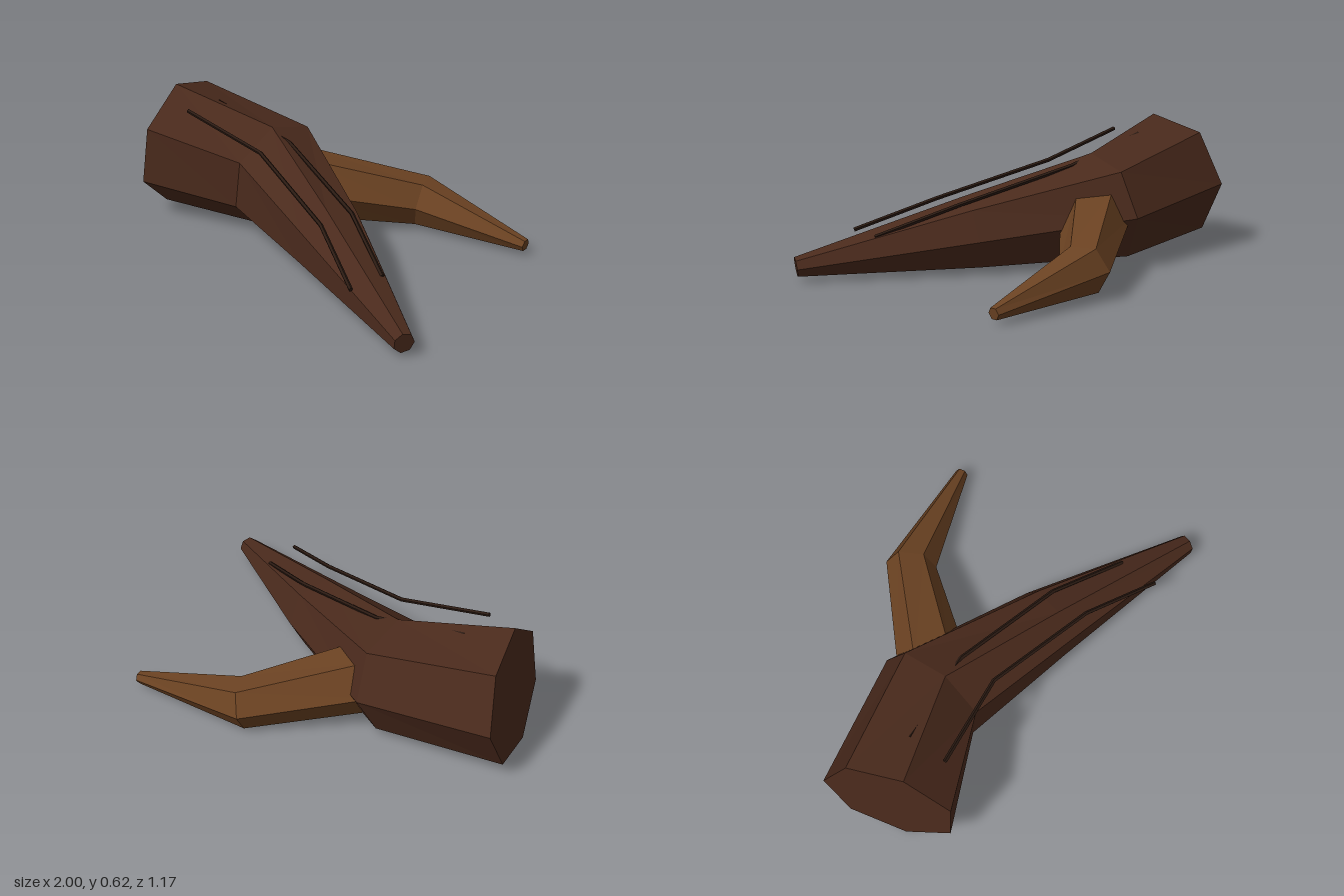
import * as THREE from 'three';

// Faceted limb: regular polygon rings [x, y, z, radius] joined along a bent path, both ends capped.
// The phase is the angle of the first corner, measured from the top of the ring.
function limb(name, rings, sides, phase, color) {
  const centers = rings.map(([x, y, z]) => new THREE.Vector3(x, y, z));
  const last = rings.length - 1;
  const step = (i) => centers[i + 1].clone().sub(centers[i]).normalize();
  const up = new THREE.Vector3(0, 1, 0);

  const loops = rings.map((ring, i) => {
    // each ring lies square to the average direction of its neighbouring segments
    const dir = step(Math.min(i, last - 1)).add(step(Math.max(i - 1, 0))).normalize();
    const side = dir.clone().cross(up).normalize();
    const top = side.clone().cross(dir);
    return Array.from({ length: sides }, (_, k) => {
      const a = phase + (k / sides) * Math.PI * 2;
      return centers[i].clone()
        .addScaledVector(top, Math.cos(a) * ring[3])
        .addScaledVector(side, Math.sin(a) * ring[3]);
    });
  });

  const points = [];
  for (let k = 0; k < sides; k++) {
    const n = (k + 1) % sides;
    for (let i = 0; i < last; i++) {
      const a = loops[i][k], b = loops[i][n], c = loops[i + 1][n], d = loops[i + 1][k];
      points.push(a, b, c, a, c, d);
    }
    points.push(centers[0], loops[0][n], loops[0][k]);
    points.push(centers[last], loops[last][k], loops[last][n]);
  }
  const geometry = new THREE.BufferGeometry().setFromPoints(points);
  geometry.computeVertexNormals();
  const mesh = new THREE.Mesh(geometry, new THREE.MeshStandardMaterial({ color, flatShading: true }));
  mesh.name = name;
  return mesh;
}

export function createModel() {
  const group = new THREE.Group();
  group.name = 'fallenBranch';

  // Thick seven-sided trunk, bent near the fork and tapering to a tip
  group.add(limb('trunk', [
    [-0.905, 0.317, 0.175, 0.313],
    [-0.37, 0.25, 0.02, 0.263],
    [0.24, 0.17, 0.24, 0.174],
    [0.985, 0.063, 0.54, 0.047],
  ], 7, 0.2, 0x4a2a1c));

  // Six-sided side branch growing out of the back
  group.add(limb('sideBranch', [
    [-0.275, 0.225, -0.04, 0.165],
    [0.12, 0.125, -0.46, 0.119],
    [0.678, 0.045, -0.562, 0.029],
  ], 6, Math.PI / 6, 0x6b4222));

  // Two thin bark ridges following the top of the trunk
  const r = 0.01;
  for (const [name, zs] of [
    ['frontBarkRidge', [0.305, 0.25, 0.385, 0.543]],
    ['backBarkRidge', [0.12, 0.07, 0.2, 0.36]],
  ]) {
    const xy = [[-0.665, 0.557], [-0.22, 0.46], [0.325, 0.322], [0.677, 0.193]];
    group.add(limb(name, xy.map(([x, y], i) => [x, y, zs[i], r]), 5, 0, 0x2a1a12));
  }
  return group;
}
